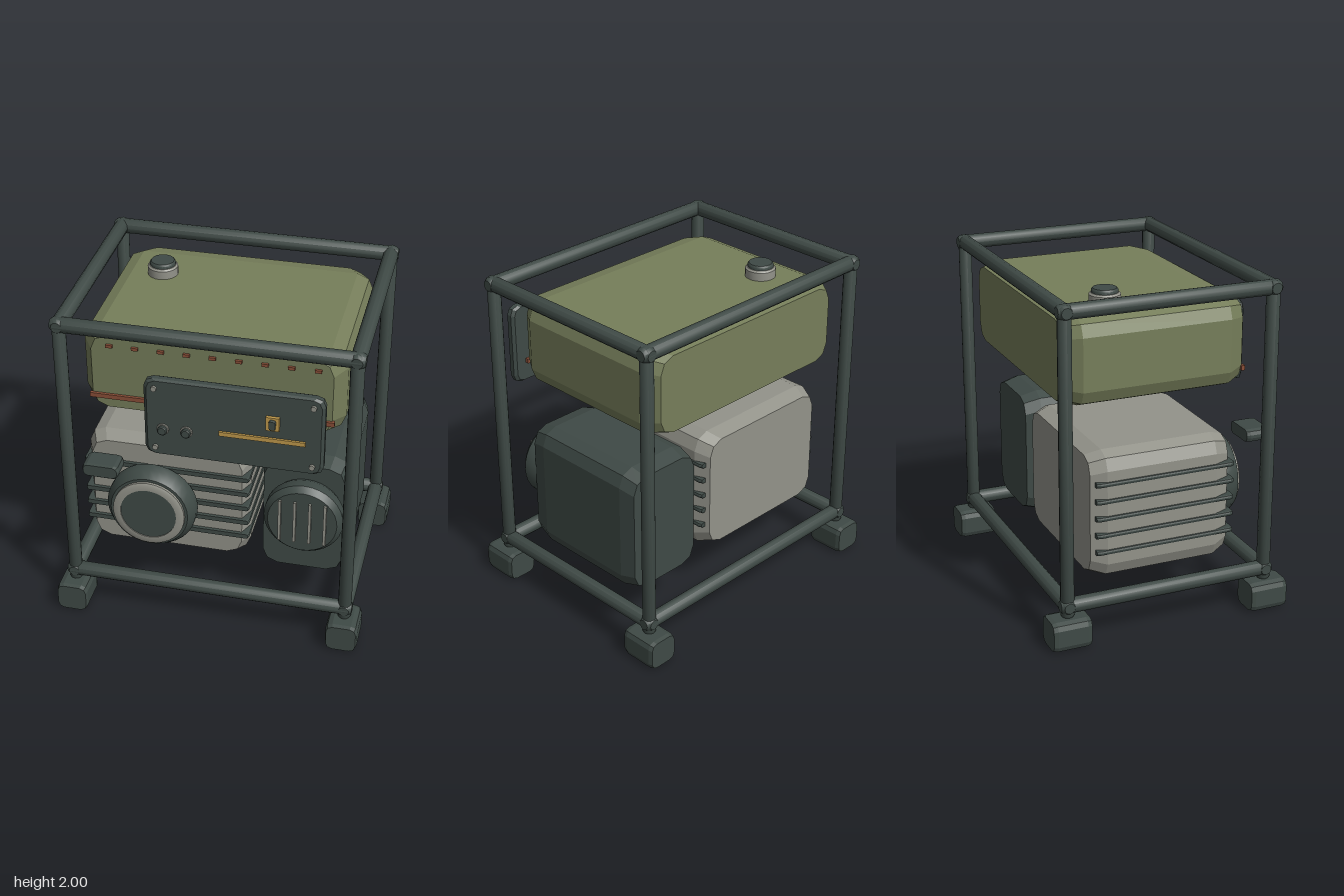
import * as THREE from 'three';
import { toCreasedNormals } from 'three/addons/utils/BufferGeometryUtils.js';

const mat = (name, color) => {
  const m = new THREE.MeshStandardMaterial({ color });
  m.name = name;
  return m;
};

// Rounded-rectangle outline, counter-clockwise, two facets per corner
function outline(w, h, r) {
  const pts = [];
  [[1, 1], [-1, 1], [-1, -1], [1, -1]].forEach(([sx, sy], q) => {
    for (let i = 0; i < 3; i++) {
      const a = (q + i / 2) * Math.PI / 2;
      pts.push([sx * (w / 2 - r) + r * Math.cos(a), sy * (h / 2 - r) + r * Math.sin(a)]);
    }
  });
  return pts;
}

// Faceted block along z whose two ends shrink by a scale over a given length
function block(w, h, d, r, scale, taper) {
  const ring = outline(w, h, r), n = ring.length, pos = [];
  const sections = [[-d / 2, scale], [-d / 2 + taper, 1], [d / 2 - taper, 1], [d / 2, scale]];
  const pt = (s, i) => {
    const [z, k] = sections[s], p = ring[i % n];
    return [p[0] * k, p[1] * k, z];
  };
  for (let i = 0; i < n; i++) {
    for (let s = 0; s < 3; s++) {
      const a = pt(s, i), b = pt(s, i + 1), c = pt(s + 1, i + 1), e = pt(s + 1, i);
      pos.push(...a, ...b, ...c, ...a, ...c, ...e);
    }
    pos.push(0, 0, -d / 2, ...pt(0, i + 1), ...pt(0, i));
    pos.push(0, 0, d / 2, ...pt(3, i), ...pt(3, i + 1));
  }
  const g = new THREE.BufferGeometry();
  g.setAttribute('position', new THREE.Float32BufferAttribute(pos, 3));
  g.computeVertexNormals();
  return g;
}

// Turned part from [radius, height] pairs, listed bottom to top
function turned(profile, sides) {
  const g = new THREE.LatheGeometry(profile.map(([r, y]) => new THREE.Vector2(r, y)), sides);
  return toCreasedNormals(g, 0.7);
}

// Tube along y with chamfered ends
function tube(r, length) {
  const h = length / 2;
  return turned([[0, -h], [r * 0.7, -h], [r, -h + 0.02], [r, h - 0.02], [r * 0.7, h], [0, h]], 12);
}

export function createModel() {
  const model = new THREE.Group();
  model.name = 'portableGenerator';
  const dark = mat('dark green grey', 0x3f4a46);
  const olive = mat('olive', 0x767e5a);
  const grey = mat('warm grey', 0x93938a);
  const rust = mat('rust', 0x8a4f38);
  const gold = mat('gold', 0xc09a4c);

  const add = (name, geometry, material, x, y, z, parent = model) => {
    const m = new THREE.Mesh(geometry, material);
    m.name = name;
    m.position.set(x, y, z);
    parent.add(m);
    return m;
  };
  // Turned part facing the front
  const dial = (name, profile, sides, material, x, y, z) => {
    add(name, turned(profile, sides), material, x, y, z).rotation.x = Math.PI / 2;
  };

  // Tubular frame and feet
  const frame = new THREE.Group();
  frame.name = 'frame';
  model.add(frame);
  const X = 0.83, frontZ = 0.615, backZ = -0.628;
  const postGeo = tube(0.04, 1.81), crossGeo = tube(0.045, 1.75), sideGeo = tube(0.045, 1.33);
  const footGeo = block(0.19, 0.18, 0.23, 0.04, 0.93, 0.025);
  for (const z of [frontZ, backZ]) {
    for (const x of [-X, X]) {
      add('post', postGeo, dark, x, 1.075, z, frame);
      add('foot', footGeo, dark, x, 0.09, z, frame);
    }
    for (const y of [0.243, 1.955]) add('crossRail', crossGeo, dark, 0, y, z, frame).rotation.z = Math.PI / 2;
  }
  for (const x of [-X, X]) {
    for (const y of [0.243, 1.955]) add('sideRail', sideGeo, dark, x, y, -0.007, frame).rotation.x = Math.PI / 2;
  }

  // Fuel tank with seam, rivets and filler cap
  add('fuelTank', block(1.51, 0.51, 1.095, 0.1, 0.914, 0.1), olive, 0, 1.615, -0.043);
  add('tankSeam', new THREE.BoxGeometry(1.41, 0.028, 0.022), rust, 0, 1.458, 0.51);
  const rivet = new THREE.BoxGeometry(0.038, 0.018, 0.02);
  for (let i = 0; i < 9; i++) add('tankRivet', rivet, rust, -0.58 + i * 0.148, 1.79, 0.51);
  add('fillerNeck', turned([[0.09, 0], [0.09, 0.06], [0.08, 0.07], [0, 0.07]], 24), grey, -0.47, 1.86, -0.245);
  add('fillerCap', turned([[0.076, 0], [0.076, 0.025], [0.068, 0.035], [0, 0.035]], 24), dark, -0.47, 1.92, -0.245);

  // Engine block with cooling fins
  add('engineBlock', block(0.99, 0.765, 0.855, 0.1, 0.92, 0.09), grey, -0.298, 0.713, -0.028);
  const fin = new THREE.CylinderGeometry(1, 1, 1, 4, 1).rotateY(Math.PI / 4);
  const finGeo = block(1.01, 0.03, 0.85, 0.012, 0.985, 0.02);
  fin.dispose();
  for (let i = 0; i < 5; i++) add('coolingFin', finGeo, dark, -0.298, 0.508 + i * 0.103, -0.005);

  // Recoil starter
  dial('starterHousing', [[0.24, 0], [0.27, 0.03], [0.27, 0.09], [0.235, 0.14], [0, 0.14]], 32, dark, -0.37, 0.7, 0.415);
  dial('starterRing', [[0.218, 0], [0.218, 0.018], [0.205, 0.026], [0.17, 0.026], [0.17, 0]], 32, grey, -0.37, 0.7, 0.553);
  dial('starterHub', [[0.17, 0], [0.17, 0.02], [0, 0.02]], 32, dark, -0.37, 0.7, 0.553);
  add('pullHandle', block(0.22, 0.078, 0.14, 0.03, 0.92, 0.02), dark, -0.62, 1.038, 0.61);

  // Alternator housing with round slatted cover
  add('alternatorHousing', block(0.515, 0.79, 0.85, 0.1, 0.93, 0.1), dark, 0.528, 0.7, -0.025);
  dial('alternatorCover', [[0.22, 0], [0.235, 0.03], [0.235, 0.09], [0.205, 0.125], [0, 0.125]], 32, dark, 0.543, 0.758, 0.4);
  const slat = new THREE.BoxGeometry(0.016, 0.28, 0.025);
  for (let i = 0; i < 4; i++) add('coverSlat', slat, grey, 0.41 + i * 0.089, 0.758, 0.528);

  // Control panel
  const cx = 0.175, cy = 1.488;
  add('controlPanel', block(1.015, 0.495, 0.06, 0.05, 0.965, 0.015), dark, cx, cy, 0.68);
  for (const sx of [-1, 1]) {
    for (const sy of [-1, 1]) {
      dial('panelBolt', [[0.016, 0], [0.016, 0.02], [0, 0.02]], 12, grey, cx + sx * 0.445, cy + sy * 0.193, 0.705);
    }
  }
  for (const x of [-0.225, -0.09]) {
    dial('knobRing', [[0.035, 0], [0.035, 0.015], [0, 0.015]], 16, grey, x, 1.42, 0.705);
    dial('knob', [[0.028, 0], [0.028, 0.025], [0.022, 0.03], [0, 0.03]], 16, dark, x, 1.42, 0.71);
  }
  add('panelStripe', new THREE.BoxGeometry(0.485, 0.026, 0.02), gold, 0.337, 1.442, 0.713);
  add('switchPlate', new THREE.BoxGeometry(0.075, 0.085, 0.022), gold, 0.397, 1.553, 0.718);
  add('switchRocker', block(0.038, 0.06, 0.03, 0.01, 0.9, 0.008), dark, 0.397, 1.553, 0.73);

  return model;
}
